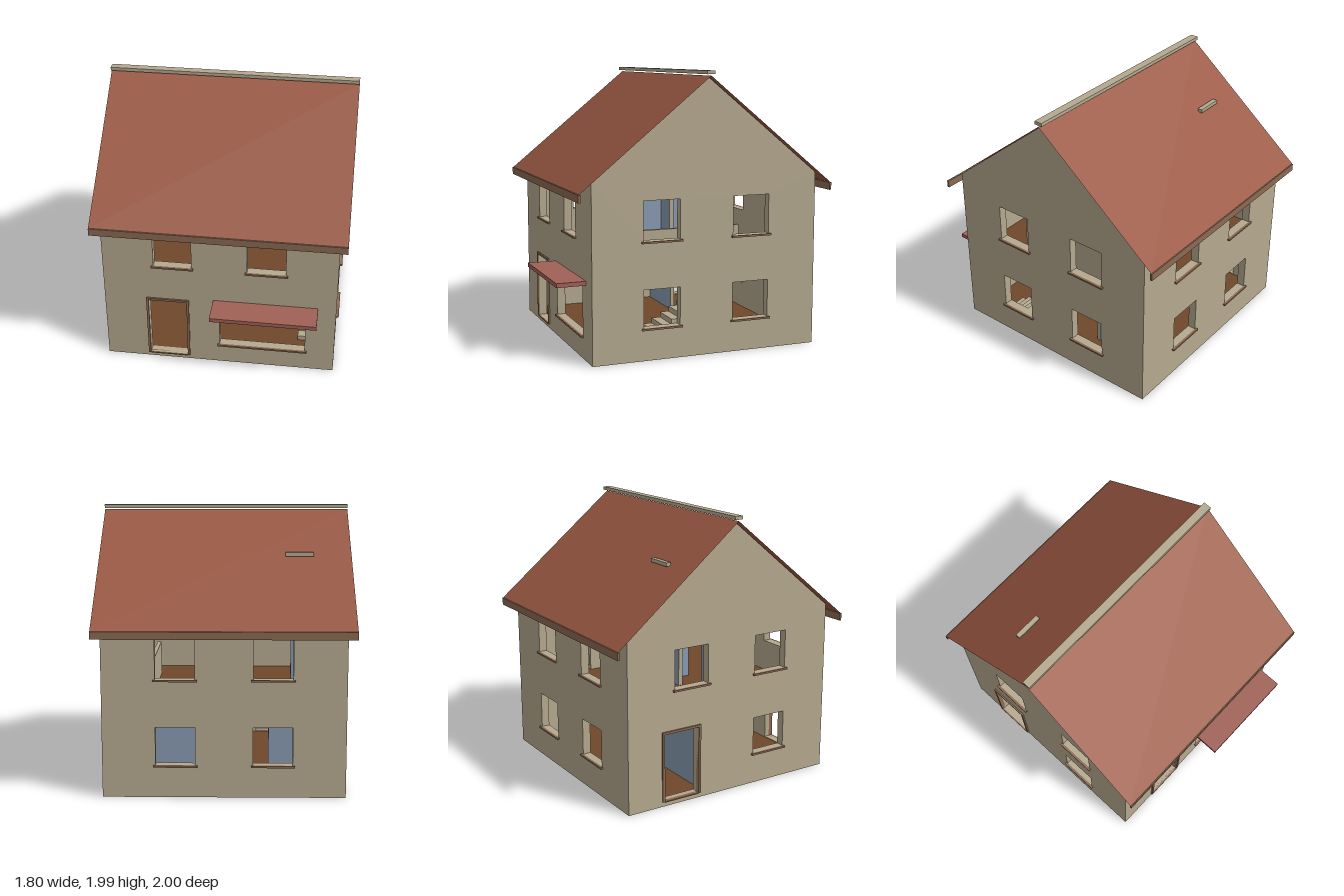
import * as THREE from 'three';

const mat = (name, color, side = THREE.FrontSide) => {
  const m = new THREE.MeshStandardMaterial({ color, side });
  m.name = name;
  return m;
};

export function createModel() {
  const house = new THREE.Group();
  house.name = 'house';
  const plaster = mat('plaster', 0xb5a98f);
  const tile = mat('roofTile', 0x9a5842, THREE.DoubleSide);
  const wood = mat('trimWood', 0x8a6a52);
  const awningRed = mat('awningRed', 0xa06056);
  const blue = mat('innerWallBlue', 0x899bb2);
  const floorBrown = mat('floorBrown', 0x70482a);

  // Outer dimensions
  const X = 0.845, FRONT = 0.79, BACK = -0.895, MID = -0.05, T = 0.06;
  const EAVE = 1.257, RIDGE = 1.943;

  // Box given by its extents
  function box(name, x0, x1, y0, y1, z0, z1, material, parent = house) {
    const m = new THREE.Mesh(new THREE.BoxGeometry(x1 - x0, y1 - y0, z1 - z0), material);
    m.position.set((x0 + x1) / 2, (y0 + y1) / 2, (z0 + z1) / 2);
    m.name = name;
    parent.add(m);
    return m;
  }

  // Wall outline with rectangular openings [u0, u1, y0, y1], extruded to wall thickness
  function wall(name, outline, openings) {
    const shape = new THREE.Shape(outline.map(p => new THREE.Vector2(...p)));
    for (const [a, b, c, d] of openings) {
      shape.holes.push(new THREE.Path([[a, c], [a, d], [b, d], [b, c]].map(p => new THREE.Vector2(...p))));
    }
    const m = new THREE.Mesh(new THREE.ExtrudeGeometry(shape, { depth: T, bevelEnabled: false }), plaster);
    m.name = name;
    house.add(m);
    return m;
  }

  const LOW = [0.23, 0.5], HIGH = [0.835, 1.115], DOOR = [0.04, 0.53];
  const xs = [[-0.475, -0.2], [0.2, 0.475]];
  const zs = [[-0.525, -0.25], [0.15, 0.42]];
  const pair = (spans, ys) => spans.map(s => [...s, ...ys]);
  const frontDoor = [-0.52, -0.24, ...DOOR];
  const sideDoor = [-0.61, -0.33, ...DOOR];
  const shopWindow = [0, 0.63, 0.165, 0.53];

  // Front and back walls
  const w = X - T;
  const rect = [[-w, 0], [w, 0], [w, EAVE], [-w, EAVE]];
  const frontWindows = [...pair(xs, HIGH), shopWindow];
  const backWindows = [...pair(xs, HIGH), ...pair(xs, LOW)];
  wall('frontWall', rect, [...frontWindows, frontDoor]).position.z = FRONT - T;
  wall('backWall', rect, backWindows).position.z = BACK;

  // Gable walls
  const gable = [[BACK, 0], [FRONT, 0], [FRONT, EAVE], [MID, RIDGE], [BACK, EAVE]];
  const leftWindows = [...pair(zs, HIGH), ...pair(zs, LOW)];
  const rightWindows = [...pair(zs, HIGH), [...zs[1], ...LOW]];
  const left = wall('leftGable', gable, leftWindows);
  left.rotation.y = -Math.PI / 2;
  left.position.x = X;
  const right = wall('rightGable', gable, [...rightWindows, sideDoor]);
  right.rotation.y = -Math.PI / 2;
  right.position.x = -X + T;

  // Window sills
  const P = 0.018;
  const sillX = (list, z0, z1) => list.forEach(([a, b, y]) =>
    box('windowSill', a - 0.015, b + 0.015, y - 0.013, y, z0, z1, wood));
  const sillZ = (list, x0, x1) => list.forEach(([a, b, y]) =>
    box('windowSill', x0, x1, y - 0.013, y, a - 0.015, b + 0.015, wood));
  sillX(frontWindows, FRONT, FRONT + P);
  sillX(backWindows, BACK - P, BACK);
  sillZ(leftWindows, X, X + P);
  sillZ(rightWindows, -X - P, -X);

  // Door frames
  function doorFrame(name, [a, b, c, d]) {
    const g = new THREE.Group();
    g.name = name;
    const f = 0.017;
    box('jamb', a - f, a, c - 0.004, d + f, -0.02, 0.012, wood, g);
    box('jamb', b, b + f, c - 0.004, d + f, -0.02, 0.012, wood, g);
    box('lintel', a, b, d, d + f, -0.02, 0.012, wood, g);
    box('threshold', a, b, c - 0.008, c, -0.02, 0.012, wood, g);
    house.add(g);
    return g;
  }
  doorFrame('frontDoorFrame', frontDoor).position.z = FRONT;
  const sideFrame = doorFrame('sideDoorFrame', sideDoor);
  sideFrame.rotation.y = -Math.PI / 2;
  sideFrame.position.x = -X;

  // Roof slopes and eaves boards, mirrored about the ridge
  const run = 0.94, slope = Math.atan(0.813), length = run / Math.cos(slope);
  for (const turn of [0, Math.PI]) {
    const half = new THREE.Group();
    half.name = turn ? 'backRoof' : 'frontRoof';
    half.position.z = MID;
    half.rotation.y = turn;
    const plane = new THREE.Mesh(new THREE.PlaneGeometry(1.8, length), tile);
    plane.name = 'roofSlope';
    plane.rotation.x = slope - Math.PI / 2;
    plane.position.set(0, 1.95 - run * 0.813 / 2, run / 2);
    half.add(plane);
    box('eavesBoard', -0.9, 0.9, 1.13, 1.184, run - 0.008, run + 0.007, wood, half);
    house.add(half);
  }
  box('ridgeCap', -0.9, 0.9, 1.96, 1.985, -0.08, -0.02, plaster);
  box('roofStep', -0.63, -0.43, 1.638, 1.665, -0.455, -0.42, plaster);
  box('awning', -0.045, 0.715, 0.535, 0.565, FRONT, 1, awningRed);

  // Floors: box faces run +x, -x, +y, -y, +z, -z
  const slab = under => [plaster, plaster, floorBrown, under, plaster, plaster];
  const zb = BACK + T, zf = FRONT - T;
  box('groundFloor', -w, w, 0, 0.035, zb, zf, slab(plaster));
  box('upperFloor', -w, 0.56, 0.56, 0.6, zb, zf, slab(blue));
  box('upperFloorFront', 0.56, w, 0.56, 0.6, 0.44, zf, slab(blue));
  box('upperFloorBack', 0.56, w, 0.56, 0.6, zb, -0.46, slab(blue));
  box('atticFloor', -w, w, 1.16, 1.2, zb, zf, slab(blue));

  // Inner walls, blue with plaster ends
  const alongX = [plaster, plaster, blue, blue, blue, blue];
  const alongZ = [blue, blue, blue, blue, plaster, plaster];
  box('innerWall', -w, -0.32, 0.035, 0.56, -0.28, -0.25, alongX);
  box('innerWall', -0.1, 0.56, 0.035, 0.56, -0.28, -0.25, alongX);
  box('innerWallLining', -w, -w + 0.005, 0.035, 0.56, -0.33, -0.28, blue);
  box('upperInnerWall', -0.015, 0.015, 0.6, 1.16, -0.24, 0.14, alongZ);
  box('upperInnerWall', -w, -0.49, 0.6, 1.16, -0.065, -0.035, alongX);
  box('upperInnerWall', -0.19, 0.19, 0.6, 1.16, -0.066, -0.034, alongX);

  // Open staircase and its parapet
  const rise = 0.565 / 15, going = 0.065;
  for (let i = 0; i < 15; i++) {
    const y = 0.035 + i * rise, z = 0.515 - i * going;
    box('stairTread', 0.562, w, y, y + rise, z - going, z, plaster);
  }
  box('stairParapet', 0.53, 0.56, 0.6, 0.86, -0.43, 0.44, plaster);

  return house;
}
